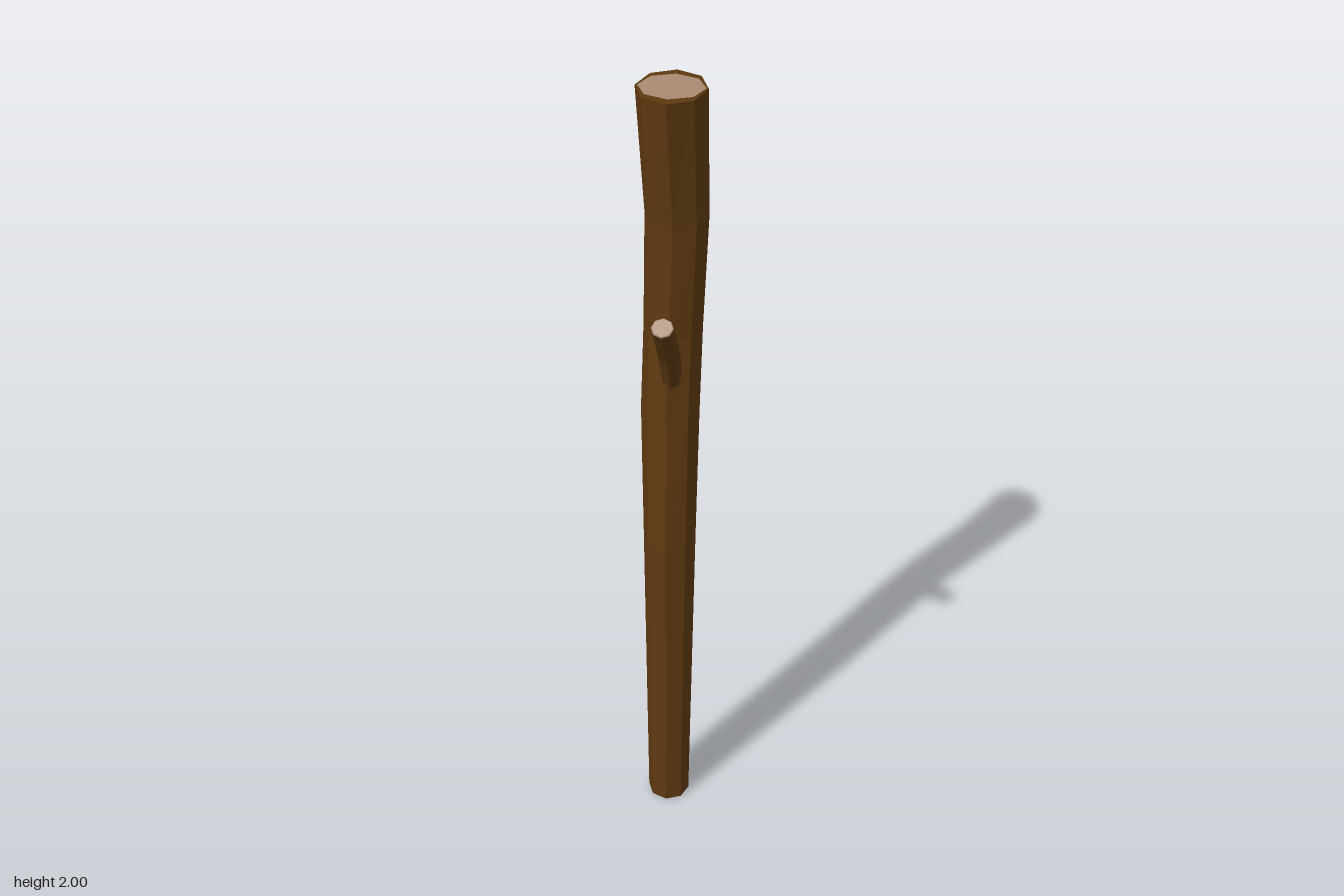
import * as THREE from 'three';

const SIDES = 8;

// One ring of points. Section: [x, y, z, radiusX, radiusZ, tilt towards +z]
function ring([x, y, z, rx, rz, tilt = 0]) {
  return Array.from({ length: SIDES }, (_, i) => {
    const a = (i / SIDES) * Math.PI * 2;
    const d = rz * Math.cos(a);
    return [x + rx * Math.sin(a), y - d * Math.sin(tilt), z + d * Math.cos(tilt)];
  });
}

// Flat-shaded geometry from a list of triangles
function facets(triangles) {
  const g = new THREE.BufferGeometry();
  g.setAttribute('position', new THREE.Float32BufferAttribute(triangles.flat(2), 3));
  g.computeVertexNormals();
  return g;
}

// Fan of triangles closing a section
function fan(section, up) {
  const pts = ring(section);
  const c = section.slice(0, 3);
  return pts.map((p, i) => {
    const q = pts[(i + 1) % SIDES];
    return up ? [c, p, q] : [c, q, p];
  });
}

// Closed faceted limb through a list of sections, bottom to top
function limb(sections) {
  const rings = sections.map(ring);
  const tris = [...fan(sections[0], false), ...fan(sections.at(-1), true)];
  for (let k = 0; k < rings.length - 1; k++) {
    for (let i = 0; i < SIDES; i++) {
      const j = (i + 1) % SIDES;
      const [a, b, c, d] = [rings[k][i], rings[k][j], rings[k + 1][j], rings[k + 1][i]];
      tris.push([a, b, c], [a, c, d]);
    }
  }
  return facets(tris);
}

export function createModel() {
  const bark = new THREE.MeshStandardMaterial({ color: 0x5e3910 });
  bark.name = 'bark brown';
  const wood = new THREE.MeshStandardMaterial({ color: 0xa98a72 });
  wood.name = 'cut wood';

  const model = new THREE.Group();
  model.name = 'branch';
  const add = (name, geometry, material) => {
    const mesh = new THREE.Mesh(geometry, material);
    mesh.name = name;
    model.add(mesh);
  };

  // Gently bent trunk, widening upward
  add('trunk', limb([
    [-0.008, 0.004, -0.028, 0.053, 0.053],
    [-0.008, 0.85, -0.043, 0.063, 0.068],
    [-0.009, 1.2, -0.06, 0.068, 0.07],
    [-0.004, 1.42, -0.072, 0.067, 0.072],
    [0.005, 1.7, -0.062, 0.07, 0.069],
    [-0.004, 1.996, -0.043, 0.076, 0.087],
  ]), bark);

  // Kinked side twig at the front
  add('twig', limb([
    [0, 1.28, -0.035, 0.024, 0.028, 0.1],
    [0, 1.4, 0.024, 0.026, 0.028, 0.5],
    [0, 1.527, 0.125, 0.025, 0.024, 0.56],
  ]), bark);

  // Pale cut faces
  add('topCut', facets(fan([-0.003, 1.999, -0.038, 0.071, 0.064], true)), wood);
  add('bottomCut', facets(fan([-0.008, 0, -0.028, 0.046, 0.046], false)), wood);
  add('twigCut', facets(fan([0, 1.529, 0.126, 0.023, 0.022, 0.56], true)), wood);

  return model;
}
